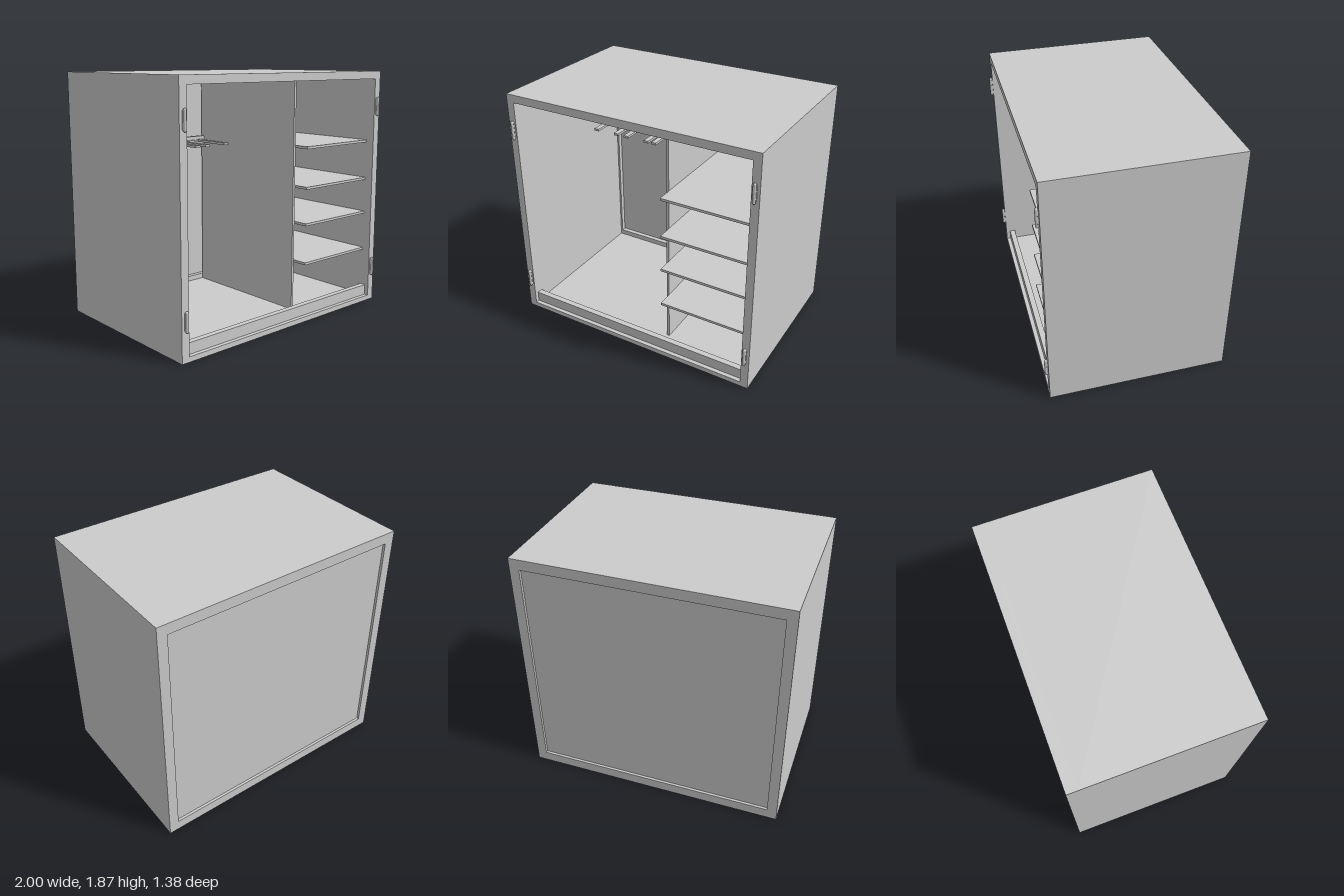
import * as THREE from 'three';

const material = new THREE.MeshStandardMaterial({ color: 0xcccccc });

// Box given by its min and max corners
function box(name, [x0, y0, z0], [x1, y1, z1]) {
  const geo = new THREE.BoxGeometry(x1 - x0, y1 - y0, z1 - z0);
  geo.translate((x0 + x1) / 2, (y0 + y1) / 2, (z0 + z1) / 2);
  const mesh = new THREE.Mesh(geo, material);
  mesh.name = name;
  return mesh;
}

// Rectangular frame with a rectangular opening, running from z0 to z1
function frame(name, halfOpening, bottom, top, z0, z1) {
  const shape = new THREE.Shape([[-1, 0], [1, 0], [1, 1.87], [-1, 1.87]].map(p => new THREE.Vector2(...p)));
  const w = halfOpening;
  shape.holes.push(new THREE.Path([[-w, bottom], [-w, top], [w, top], [w, bottom]].map(p => new THREE.Vector2(...p))));
  const geo = new THREE.ExtrudeGeometry(shape, { depth: z1 - z0, bevelEnabled: false });
  geo.translate(0, 0, z0);
  const mesh = new THREE.Mesh(geo, material);
  mesh.name = name;
  return mesh;
}

// Upright pill-shaped plate centred on the origin, rising along +z
function pill(name, width, height, depth) {
  const r = width / 2, h = height / 2 - r;
  const shape = new THREE.Shape();
  shape.absarc(0, h, r, 0, Math.PI);
  shape.absarc(0, -h, r, Math.PI, Math.PI * 2);
  const mesh = new THREE.Mesh(
    new THREE.ExtrudeGeometry(shape, { depth, bevelEnabled: false, curveSegments: 10 }), material);
  mesh.name = name;
  return mesh;
}

function createHinge(x, y) {
  const hinge = new THREE.Group();
  hinge.name = 'hinge';
  const plate = pill('hingePlate', 0.028, 0.135, 0.008);
  const barrel = new THREE.Mesh(new THREE.CapsuleGeometry(0.012, 0.126, 6, 14), material);
  barrel.name = 'hingeBarrel';
  barrel.position.z = 0.011;
  hinge.add(plate, barrel);
  hinge.position.set(x, y, 0.667);
  return hinge;
}

// Pair of long pegs joined by a thin strip at the wall
function createHanger(x) {
  const hanger = new THREE.Group();
  hanger.name = 'hanger';
  for (const s of [-1, 1]) {
    const c = x + s * 0.098;
    hanger.add(box('peg', [c - 0.021, 1.269, -0.58], [c + 0.021, 1.288, -0.23]));
  }
  hanger.add(box('hangerStrip', [x - 0.08, 1.272, -0.58], [x + 0.08, 1.285, -0.56]));
  return hanger;
}

export function createModel() {
  const model = new THREE.Group();
  model.name = 'wardrobe';

  // Carcass and recessed back
  model.add(frame('carcass', 0.94, 0.038, 1.81, -0.61, 0.667));
  model.add(frame('backFrame', 0.925, 0.08, 1.79, -0.69, -0.61));
  model.add(box('backPanel', [-0.925, 0.08, -0.67], [0.925, 1.79, -0.65]));

  // Low board across the front of the floor
  model.add(box('plinthRail', [-0.94, 0.038, 0.59], [0.94, 0.12, 0.635]));

  // Upright divider and the shelves beside it
  model.add(box('divider', [0.22, 0.038, -0.61], [0.24, 1.81, 0.48]));
  for (const top of [1.325, 1.02, 0.74, 0.435]) {
    model.add(box('shelf', [0.24, top - 0.019, -0.61], [0.94, top, 0.6]));
  }

  // Hanging rail with pegs
  model.add(box('hangingRail', [-0.94, 1.235, -0.61], [0.22, 1.315, -0.58]));
  for (const x of [-0.787, -0.493, -0.224, 0.069]) model.add(createHanger(x));

  // Hinges on the front edges
  for (const x of [-0.965, 0.965]) {
    for (const y of [0.285, 1.593]) model.add(createHinge(x, y));
  }
  return model;
}
